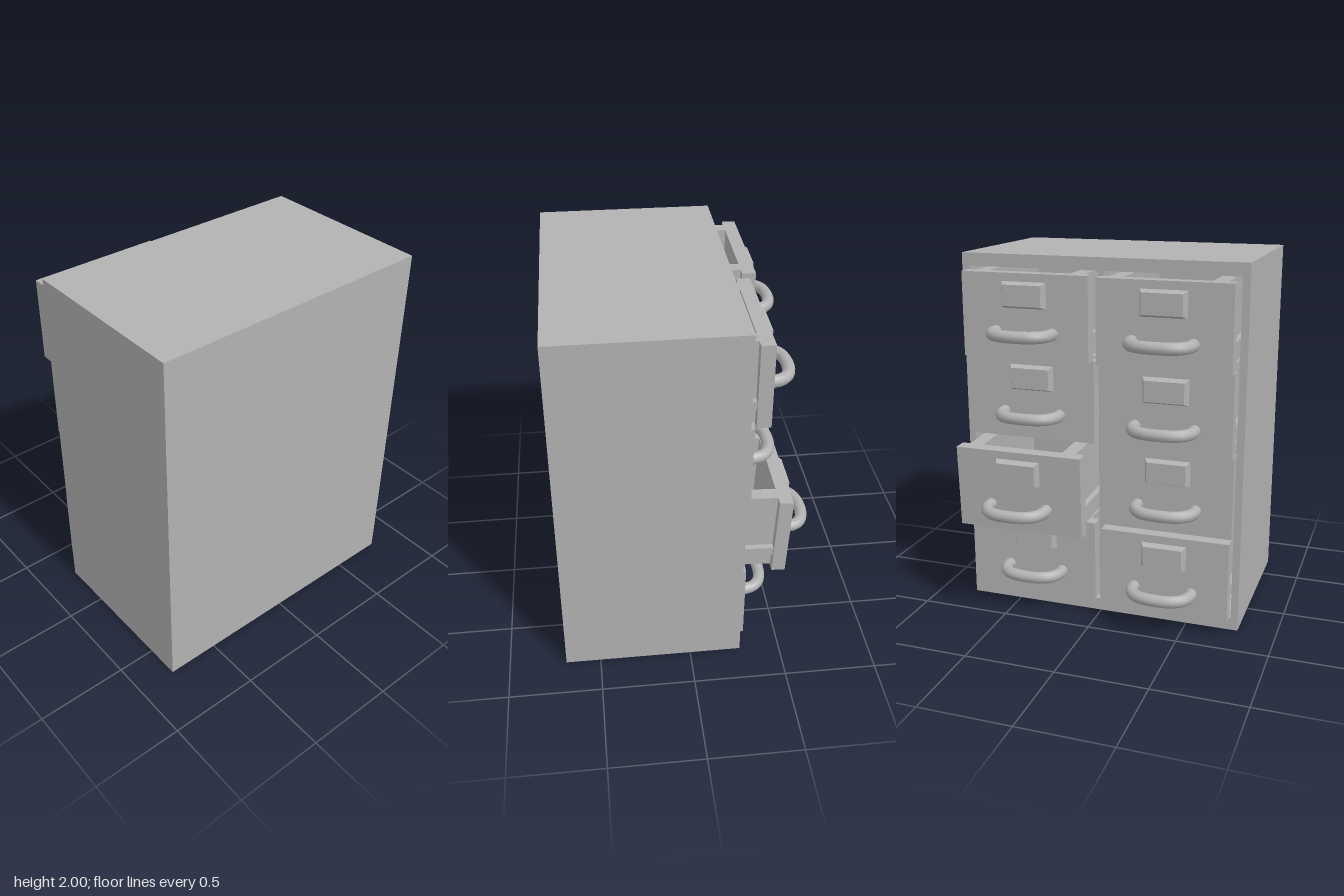
import * as THREE from 'three';

const steel = new THREE.MeshStandardMaterial({ color: 0xb2b2b2 });
steel.name = 'grey steel';

function add(parent, name, geometry) {
  const mesh = new THREE.Mesh(geometry, steel);
  mesh.name = name;
  parent.add(mesh);
  return mesh;
}

// Box given by its lower and upper corners
function box(parent, name, [x0, y0, z0], [x1, y1, z1]) {
  const g = new THREE.BoxGeometry(x1 - x0, y1 - y0, z1 - z0);
  g.translate((x0 + x1) / 2, (y0 + y1) / 2, (z0 + z1) / 2);
  return add(parent, name, g);
}

function rectangle(Type, x0, y0, x1, y1) {
  return new Type([[x0, y0], [x1, y0], [x1, y1], [x0, y1]].map(p => new THREE.Vector2(...p)));
}

// Bevelled label plate: a box with its outer face shrunk
function labelGeometry() {
  const g = new THREE.BoxGeometry(0.25, 0.14, 0.035);
  const p = g.attributes.position;
  for (let i = 0; i < p.count; i++) {
    if (p.getZ(i) < 0) p.setXY(i, p.getX(i) * 0.86, p.getY(i) * 0.8);
  }
  g.computeVertexNormals();
  return g;
}

// Bow handle bent outwards in a flat arc
function handleGeometry() {
  const half = [[0.16, 0.02], [0.16, -0.05], [0.135, -0.1], [0.075, -0.134]];
  const pts = [
    ...half.map(([x, z]) => new THREE.Vector3(-x, 0, z)),
    ...half.slice().reverse().map(([x, z]) => new THREE.Vector3(x, 0, z)),
  ];
  return new THREE.TubeGeometry(new THREE.CatmullRomCurve3(pts), 18, 0.033, 10);
}

const label = labelGeometry();
const handle = handleGeometry();
const W = 0.357, H = 0.454, DEPTH = 0.8;

// Drawer with its origin at the bottom centre of its outer face
function drawer() {
  const d = new THREE.Group();
  d.name = 'drawer';
  box(d, 'drawerFront', [-W, 0, 0], [W, H, 0.073]);
  for (const s of [-1, 1]) {
    const span = (a, b) => [Math.min(a * s, b * s), Math.max(a * s, b * s)];
    const [a, b] = span(0.232, 0.31);
    box(d, 'drawerSide', [a, 0.005, 0.073], [b, H, DEPTH]);
    const [c, e] = span(0.31, 0.342);
    box(d, 'drawerRail', [c, 0.095, 0.073], [e, 0.142, DEPTH]);
  }
  box(d, 'drawerFloor', [-0.232, 0.005, 0.073], [0.232, 0.04, DEPTH]);
  box(d, 'drawerEnd', [-0.232, 0.04, DEPTH - 0.05], [0.232, H, DEPTH]);
  add(d, 'labelPlate', label).position.set(0, 0.34, -0.0175);
  add(d, 'handle', handle).position.set(0.004, 0.142, 0);
  return d;
}

export function createModel() {
  const model = new THREE.Group();
  model.name = 'filingCabinet';

  // Shell: a hollow frame closed by a flat panel
  const frame = rectangle(THREE.Shape, -0.79, 0, 0.79, 2);
  frame.holes.push(rectangle(THREE.Path, -0.75, 0.07, 0.75, 1.93));
  const shell = new THREE.ExtrudeGeometry(frame, { depth: 0.92, bevelEnabled: false });
  shell.translate(0, 0, -0.28);
  add(model, 'cabinetShell', shell);
  box(model, 'cabinetPanel', [-0.79, 0, 0.64], [0.79, 2, 0.69]);
  box(model, 'divider', [-0.017, 0.07, -0.27], [0.012, 1.93, 0.64]);

  // Face depth of each drawer, from the top row down
  const columns = [
    { x: 0.383, faces: [-0.39, -0.31, -0.515, -0.305] },
    { x: -0.388, faces: [-0.432, -0.37, -0.31, -0.366] },
  ];
  for (const { x, faces } of columns) {
    faces.forEach((z, row) => {
      const d = drawer();
      d.position.set(x, 1.461 - row * 0.46, z);
      // The drawer pulled furthest sags a little
      if (z < -0.5) {
        d.position.y = 0.527;
        d.rotation.x = -0.045;
      }
      model.add(d);
    });
  }
  return model;
}
